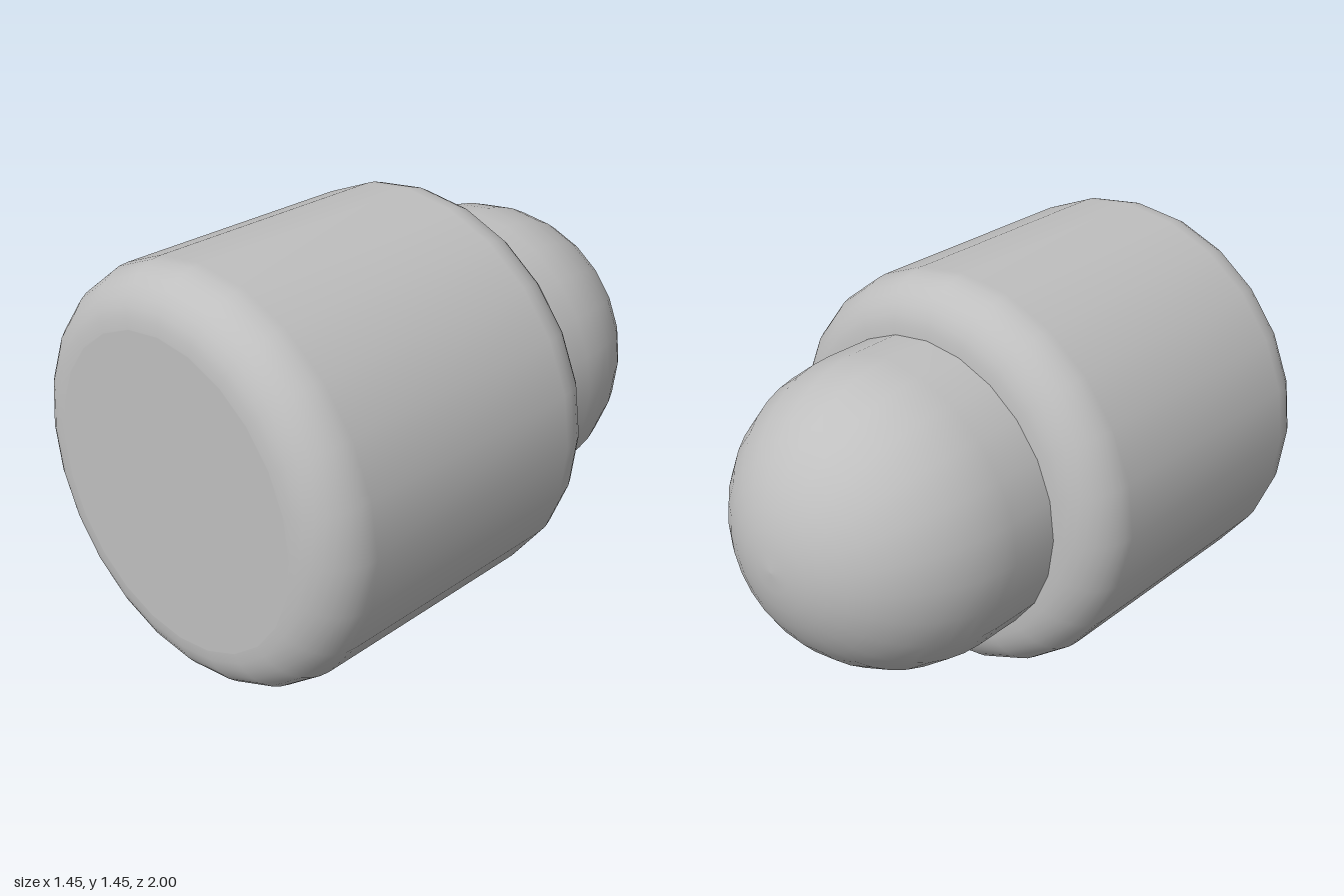
import * as THREE from 'three';

const SIDES = 24;
const R = 0.727;      // body radius
const FILLET = 0.182; // rounded rim
const DOME = 0.545;   // rear knob radius
const FRONT = 1, BACK = -0.272;

// Points of an arc in (radius, z), angle measured from the axis towards -z
function arc(cr, cz, r, from, to, steps) {
  return Array.from({ length: steps + 1 }, (_, i) => {
    const a = from + (to - from) * i / steps;
    return [Math.max(0, cr + r * Math.cos(a)), cz - r * Math.sin(a)];
  });
}

// Turns a profile of [radius, z] points, running front to back, about the z axis
function turned(name, profile, material) {
  const points = profile.map(([r, z]) => new THREE.Vector2(r, -z));
  const geometry = new THREE.LatheGeometry(points, SIDES).rotateX(-Math.PI / 2);
  const mesh = new THREE.Mesh(geometry, material);
  mesh.name = name;
  mesh.position.y = R;
  return mesh;
}

export function createModel() {
  const group = new THREE.Group();
  group.name = 'roundedKnob';
  const grey = new THREE.MeshStandardMaterial({ color: 0xbfbfbf });
  grey.name = 'grey';

  // Drum with rounded rims; the extra rings keep the flat ends flat
  const flat = R - FILLET;
  const q = Math.PI / 2;
  group.add(turned('body', [
    [0, FRONT],
    [flat - 0.002, FRONT],
    ...arc(flat, FRONT - FILLET, FILLET, -q, 0, 8),
    ...arc(flat, BACK + FILLET, FILLET, 0, q, 8),
    [flat - 0.002, BACK],
    [0, BACK],
  ], grey));

  // Short neck ending in a hemisphere
  group.add(turned('rearDome', [
    [DOME, BACK + 0.01],
    ...arc(0, -1 + DOME, DOME, 0, q, 12),
  ], grey));

  return group;
}
